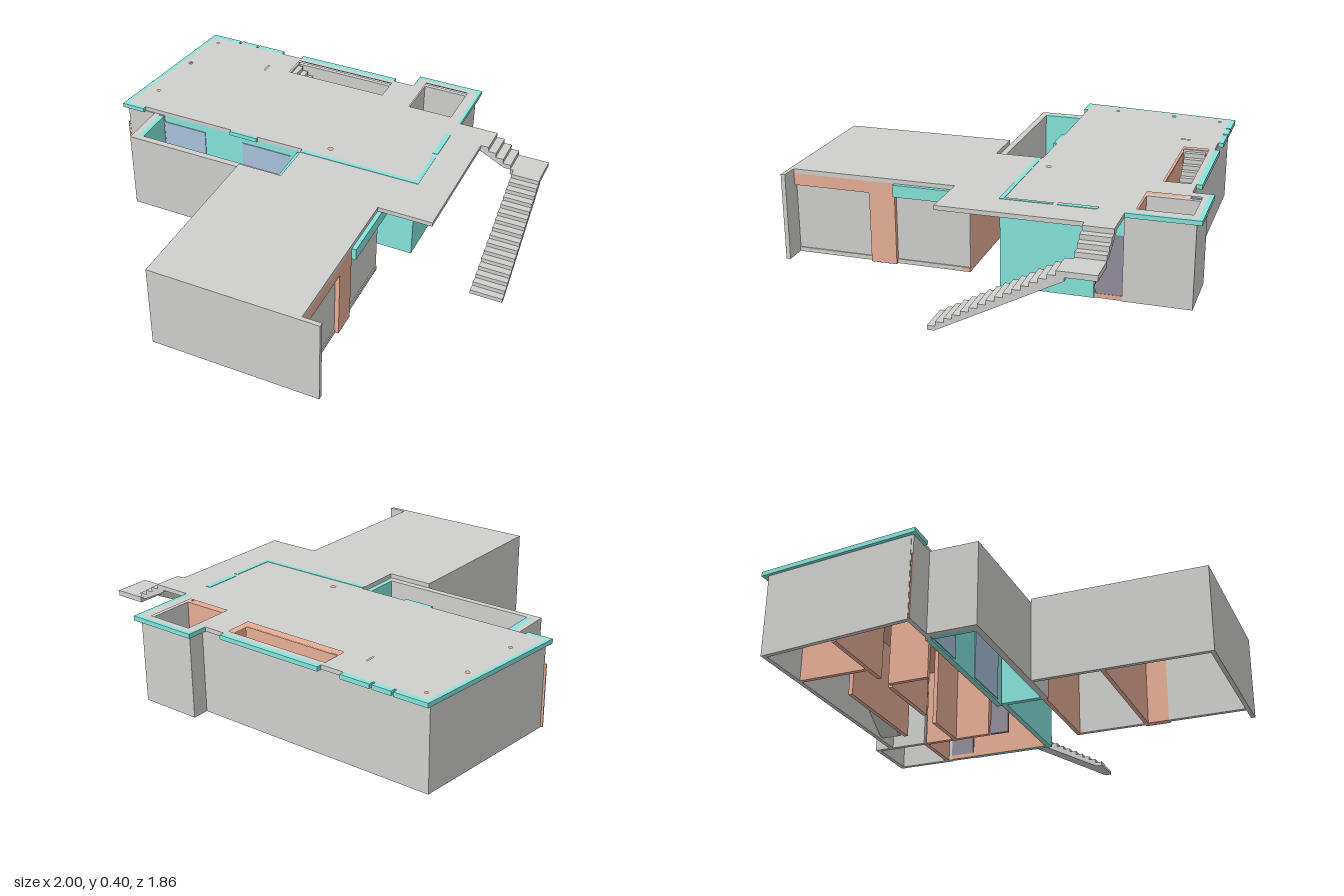
import * as THREE from 'three';

const mat = (name, color) => Object.assign(new THREE.MeshStandardMaterial({ color }), { name });

export function createModel() {
  const gray = mat('concrete', 0xcfcfcd);
  const teal = mat('tealCladding', 0x86e4db);
  const orange = mat('terracottaPlaster', 0xe8af97);
  const blue = mat('blueGlass', 0xa9c3dd);
  const slate = mat('slateDoor', 0x928e9c);
  const house = new THREE.Group();
  house.name = 'house';

  const add = (name, geometry, material) => {
    const mesh = new THREE.Mesh(geometry, material);
    mesh.name = name;
    house.add(mesh);
    return mesh;
  };
  // Box given by its lower and upper limits
  const block = (name, m, x0, x1, y0, y1, z0, z1) =>
    add(name, new THREE.BoxGeometry(x1 - x0, y1 - y0, z1 - z0), m)
      .position.set((x0 + x1) / 2, (y0 + y1) / 2, (z0 + z1) / 2);
  // Upright wall between two plan points
  const wall = (name, m, x0, z0, x1, z1, y0 = 0, y1 = 0.38, t = 0.02) => {
    const mesh = add(name, new THREE.BoxGeometry(Math.hypot(x1 - x0, z1 - z0), y1 - y0, t), m);
    mesh.position.set((x0 + x1) / 2, (y0 + y1) / 2, (z0 + z1) / 2);
    mesh.rotation.y = -Math.atan2(z1 - z0, x1 - x0);
  };
  // Horizontal slab from a plan outline with holes
  const plan = (pts) => pts.map(([x, z]) => new THREE.Vector2(x, -z));
  const rect = (x0, x1, z0, z1) => [[x0, z0], [x1, z0], [x1, z1], [x0, z1]];
  const slab = (name, m, outline, y, h, holes = []) => {
    const shape = new THREE.Shape(plan(outline));
    holes.forEach((p) => shape.holes.push(new THREE.Path(plan(p))));
    const g = new THREE.ExtrudeGeometry(shape, { depth: h, bevelEnabled: false });
    add(name, g.rotateX(-Math.PI / 2).translate(0, y, 0), m);
  };
  const ring = ([x, z, r]) => Array.from({ length: 10 }, (_, i) =>
    [x + r * Math.cos(i * Math.PI / 5), z + r * Math.sin(i * Math.PI / 5)]);
  // Descending flight along +x with its width along +z
  const flight = (n, length, drop, width, under) => {
    const pts = [new THREE.Vector2(0, 0)];
    for (let i = 1; i <= n; i++) {
      pts.push(new THREE.Vector2(i * length / n, -(i - 1) * drop / n));
      pts.push(new THREE.Vector2(i * length / n, -i * drop / n));
    }
    pts.push(new THREE.Vector2(length - 0.03, -drop), new THREE.Vector2(0, -under));
    return new THREE.ExtrudeGeometry(new THREE.Shape(pts), { depth: width, bevelEnabled: false });
  };

  // Flat roof with stairwell, light court and drains
  const stairwell = rect(-0.4, 0.105, -0.81, -0.69);
  const lightCourt = rect(0.26, 0.475, -0.885, -0.65);
  const drains = [[-0.86, -0.79, 0.008], [-0.89, -0.555, 0.01], [-0.905, -0.26, 0.008], [0.065, -0.165, 0.012]];
  slab('roof', gray, [
    [-0.9, -0.835], [0.22, -0.835], [0.22, -0.91], [0.52, -0.91], [0.52, -0.615], [0.68, -0.615],
    [0.68, 0.15], [0.43, 0.15], [0.43, 0.93], [-0.26, 0.93], [-0.26, 0.12], [-0.05, 0.12],
    [-0.05, -0.105], [-0.87, -0.105], [-0.98, -0.105],
  ], 0.38, 0.02, [stairwell, lightCourt, ...drains.map(ring), rect(-0.523, -0.517, -0.7, -0.655)]);
  for (const [x, z, r] of drains)
    add('drainPlug', new THREE.CylinderGeometry(r + 0.002, r + 0.002, 0.005, 10), gray).position.set(x, 0.382, z);
  block('roofSlotBase', gray, -0.525, -0.515, 0.38, 0.385, -0.702, -0.653);

  // Plastered ceilings
  slab('mainCeiling', orange, [
    [-0.88, -0.81], [0.25, -0.81], [0.25, -0.63], [0.49, -0.63], [0.49, -0.1], [-0.96, -0.12],
  ], 0.375, 0.004, [stairwell]);
  slab('frontRoomCeiling', orange, rect(-0.24, 0.41, 0.1, 0.91), 0.375, 0.004);

  // Teal roof trim
  slab('westTrim', teal, [[-0.915, -0.86], [-0.9, -0.835], [-0.98, -0.105], [-0.98, -0.085], [-1, -0.085]], 0.38, 0.02);
  for (const [a, b] of [[-0.914, -0.76], [-0.75, -0.66], [-0.65, -0.51], [-0.4, 0.108]])
    block('backTrim', teal, a, b, 0.38, 0.4, -0.86, -0.835);
  block('southWestTrim', teal, -0.98, -0.885, 0.38, 0.4, -0.105, -0.085);
  block('courtyardTrim', teal, -0.42, -0.28, 0.38, 0.4, -0.105, -0.09);
  block('annexBackTrim', teal, 0.215, 0.535, 0.38, 0.4, -0.93, -0.91);
  block('annexSideTrim', teal, 0.515, 0.535, 0.38, 0.4, -0.91, -0.615);
  block('annexWestTrim', teal, 0.212, 0.222, 0.38, 0.4, -0.93, -0.835);

  // Cladding edges showing through the roof
  block('roofLineEast', teal, 0.5, 0.526, 0.395, 0.402, -0.5, -0.33);
  block('roofLineEast', teal, 0.508, 0.526, 0.395, 0.402, -0.31, -0.08);
  block('roofLineSouth', teal, -0.05, 0.508, 0.395, 0.402, -0.1, -0.08);

  // Outer walls of the main wing
  wall('backWall', gray, -0.905, -0.82, 0.245, -0.82);
  wall('westWall', gray, -0.895, -0.82, -0.97, -0.11);
  wall('southWestWall', gray, -0.978, -0.11, -0.78, -0.11);
  block('westWallEnd', orange, -0.988, -0.978, 0, 0.29, -0.104, -0.099);

  // Annex around the light court
  wall('annexBackWall', gray, 0.235, -0.895, 0.515, -0.895);
  wall('annexEastWall', gray, 0.505, -0.886, 0.505, -0.61);
  wall('annexWestWall', gray, 0.245, -0.886, 0.245, -0.64);
  wall('annexInnerWall', orange, 0.255, -0.638, 0.495, -0.638);

  // Walled courtyard
  wall('courtyardFrontWall', gray, -0.835, 0.105, -0.05, 0.105, 0, 0.38, 0.03);
  wall('courtyardWestWall', gray, -0.82, -0.1, -0.82, 0.09, 0, 0.38, 0.03);
  wall('courtyardWestLining', teal, -0.793, -0.095, -0.793, 0.09, 0, 0.38, 0.025);
  wall('courtyardEastWall', teal, -0.061, -0.1, -0.061, 0.09, 0, 0.38, 0.025);
  wall('courtyardGlazedWall', teal, -0.78, -0.115, -0.05, -0.115);
  wall('courtyardInnerLining', orange, -0.78, -0.128, -0.05, -0.128, 0, 0.375, 0.006);
  for (const [a, b] of [[-0.78, -0.56], [-0.36, -0.11]])
    block('courtyardWindow', blue, a, b, 0.01, 0.345, -0.134, -0.101);

  // Front room, divided in two
  wall('frontWall', gray, -0.26, 0.92, 0.515, 0.92);
  wall('frontRoomWestWall', gray, -0.25, 0.12, -0.25, 0.911);
  block('frontStubWall', gray, 0.43, 0.515, 0.38, 0.4, 0.91, 0.93);
  block('largeDoor', gray, 0.395, 0.41, 0.02, 0.325, 0.55, 0.91);
  block('largeDoorSill', gray, 0.395, 0.415, 0, 0.02, 0.55, 0.91);
  block('largeDoorLintel', orange, 0.395, 0.43, 0.325, 0.38, 0.55, 0.91);
  block('doorPier', orange, 0.395, 0.43, 0, 0.38, 0.43, 0.55);
  block('frontRoomPartition', orange, -0.24, 0.395, 0, 0.375, 0.43, 0.45);
  block('sidePanel', gray, 0.395, 0.41, 0.02, 0.325, 0.09, 0.43);
  block('sidePanelSill', gray, 0.395, 0.415, 0, 0.02, 0.125, 0.43);
  block('sidePanelBase', orange, 0.395, 0.415, 0, 0.02, 0.09, 0.125);
  block('sidePanelLintel', teal, 0.395, 0.45, 0.325, 0.38, 0.09, 0.43);
  block('frontRoomBackWall', orange, -0.05, 0.395, 0, 0.375, 0.09, 0.11);

  // East side, with an open porch between the main wing and the front room
  wall('eastWall', teal, 0.505, -0.08, 0.505, -0.49);
  wall('eastInnerLining', orange, 0.492, -0.105, 0.492, -0.49, 0, 0.375, 0.006);
  wall('porchWall', teal, -0.05, -0.09, 0.495, -0.09);
  wall('porchInnerLining', orange, -0.05, -0.103, 0.489, -0.103, 0, 0.375, 0.006);
  block('eastDoor', slate, 0.49, 0.508, 0.02, 0.29, -0.61, -0.495);
  block('eastDoorSill', orange, 0.49, 0.51, 0, 0.02, -0.61, -0.49);
  block('eastDoorLintel', teal, 0.49, 0.51, 0.29, 0.38, -0.61, -0.49);

  // Inner partitions
  for (const [x0, z0, x1, z1] of [
    [-0.91, -0.48, -0.52, -0.48], [-0.42, -0.48, -0.08, -0.48], [0.02, -0.48, 0.25, -0.48],
    [-0.62, -0.81, -0.62, -0.49], [-0.42, -0.68, 0.12, -0.68], [0.25, -0.63, 0.25, -0.3],
    [-0.45, -0.47, -0.45, -0.28],
  ]) wall('partition', orange, x0, z0, x1, z1, 0, 0.375);
  wall('innerDoor', slate, 0.25, -0.29, 0.25, -0.2, 0, 0.29, 0.015);

  // Inner stair beneath the roof opening
  add('innerStair', flight(18, 0.505, 0.38, 0.095, 0.05), gray).position.set(-0.4, 0.38, -0.795);
  block('stairHeadWall', gray, -0.41, -0.398, 0.25, 0.39, -0.81, -0.69);

  // Outdoor stair: upper flight, landing and slightly skewed lower flight
  add('upperFlight', flight(4, 0.15, 0.09, 0.13, 0.03), gray).position.set(0.68, 0.4, -0.615);
  block('landing', gray, 0.83, 0.975, 0.285, 0.31, -0.615, -0.485);
  const lower = flight(16, 0.55, 0.31, 0.13, 0.04).rotateY(-Math.PI / 2);
  const p = lower.attributes.position;
  for (let i = 0; i < p.count; i++) p.setX(i, p.getX(i) + p.getZ(i) / 0.55 * (p.getX(i) < -0.06 ? 0.005 : 0.025));
  lower.computeVertexNormals();
  add('lowerFlight', lower, gray).position.set(0.975, 0.31, -0.485);

  return house;
}
